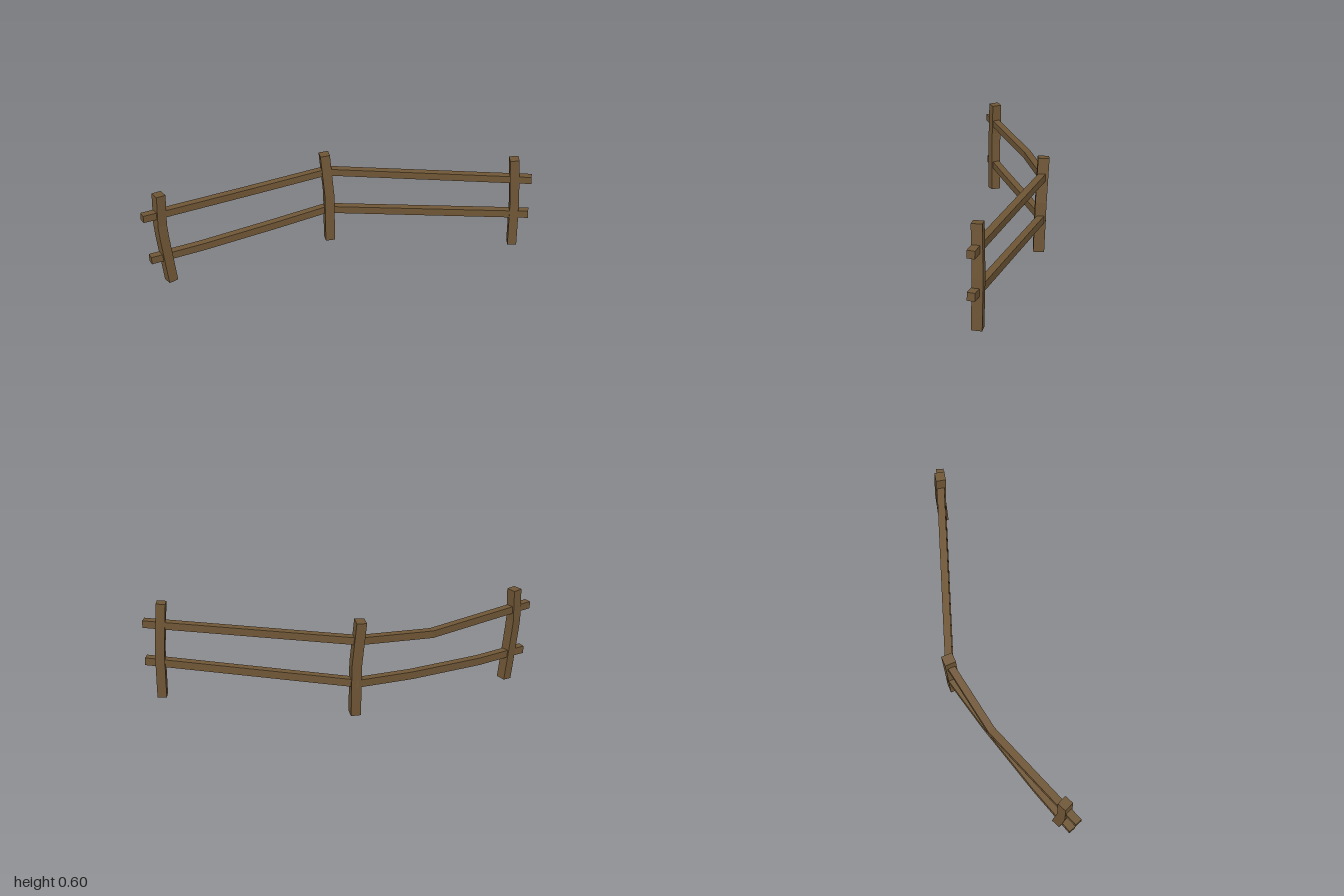
import * as THREE from 'three';

const wood = new THREE.MeshStandardMaterial({ color: 0x6f5636, flatShading: true });

// Square timber swept along a bent path; axis sets the direction of its first side
function timber(name, path, axis, sizeA, sizeB) {
  const pts = path.map(p => new THREE.Vector3(...p));
  const pos = [], idx = [];
  const corners = [[1, 1], [-1, 1], [-1, -1], [1, -1]];
  pts.forEach((p, i) => {
    // Average the directions of the neighbouring segments so that bends are mitred
    const t = new THREE.Vector3();
    if (i > 0) t.add(p.clone().sub(pts[i - 1]).normalize());
    if (i < pts.length - 1) t.add(pts[i + 1].clone().sub(p).normalize());
    t.normalize();
    const a = axis.clone().addScaledVector(t, -axis.dot(t)).normalize();
    const b = t.clone().cross(a);
    for (const [u, v] of corners) {
      const c = p.clone().addScaledVector(a, u * sizeA / 2).addScaledVector(b, v * sizeB / 2);
      pos.push(c.x, c.y, c.z);
    }
  });
  for (let i = 0; i < pts.length - 1; i++) {
    for (let k = 0; k < 4; k++) {
      const p = i * 4 + k, q = i * 4 + (k + 1) % 4;
      idx.push(p, q, q + 4, p, q + 4, p + 4);
    }
  }
  const e = (pts.length - 1) * 4;
  idx.push(0, 2, 1, 0, 3, 2, e, e + 1, e + 2, e, e + 2, e + 3);
  let geo = new THREE.BufferGeometry();
  geo.setAttribute('position', new THREE.Float32BufferAttribute(pos, 3));
  geo.setIndex(idx);
  geo = geo.toNonIndexed();
  geo.computeVertexNormals();
  const mesh = new THREE.Mesh(geo, wood);
  mesh.name = name;
  return mesh;
}

// Upright post turned by yaw degrees to follow the fence line
function post(name, path, yaw, width, depth) {
  const r = THREE.MathUtils.degToRad(yaw);
  return timber(name, path, new THREE.Vector3(Math.cos(r), 0, Math.sin(r)), width, depth);
}

export function createModel() {
  const fence = new THREE.Group();
  fence.name = 'fence';

  // Three slightly crooked posts
  fence.add(
    post('rightPost', [[-0.871, 0.006, -0.286], [-0.899, 0.29, -0.292], [-0.903, 0.36, -0.295], [-0.896, 0.538, -0.297]], -9, 0.052, 0.055),
    post('middlePost', [[0.073, 0.012, -0.276], [0.073, 0.30, -0.284], [0.055, 0.545, -0.301]], 15, 0.053, 0.06),
    post('leftPost', [[0.927, 0.065, 0.29], [0.925, 0.33, 0.284], [0.903, 0.598, 0.282]], 27, 0.049, 0.054)
  );

  // Two rails bending round the middle post
  const up = new THREE.Vector3(0, 1, 0);
  fence.add(
    timber('topRail', [[-0.998, 0.427, -0.288], [-0.35, 0.407, -0.336], [0.065, 0.44, -0.297], [0.988, 0.48, 0.337]], up, 0.04, 0.04),
    timber('bottomRail', [[-0.975, 0.163, -0.29], [-0.68, 0.16, -0.3], [-0.25, 0.177, -0.304], [0.065, 0.2, -0.297], [0.988, 0.267, 0.337]], up, 0.042, 0.04)
  );
  return fence;
}
